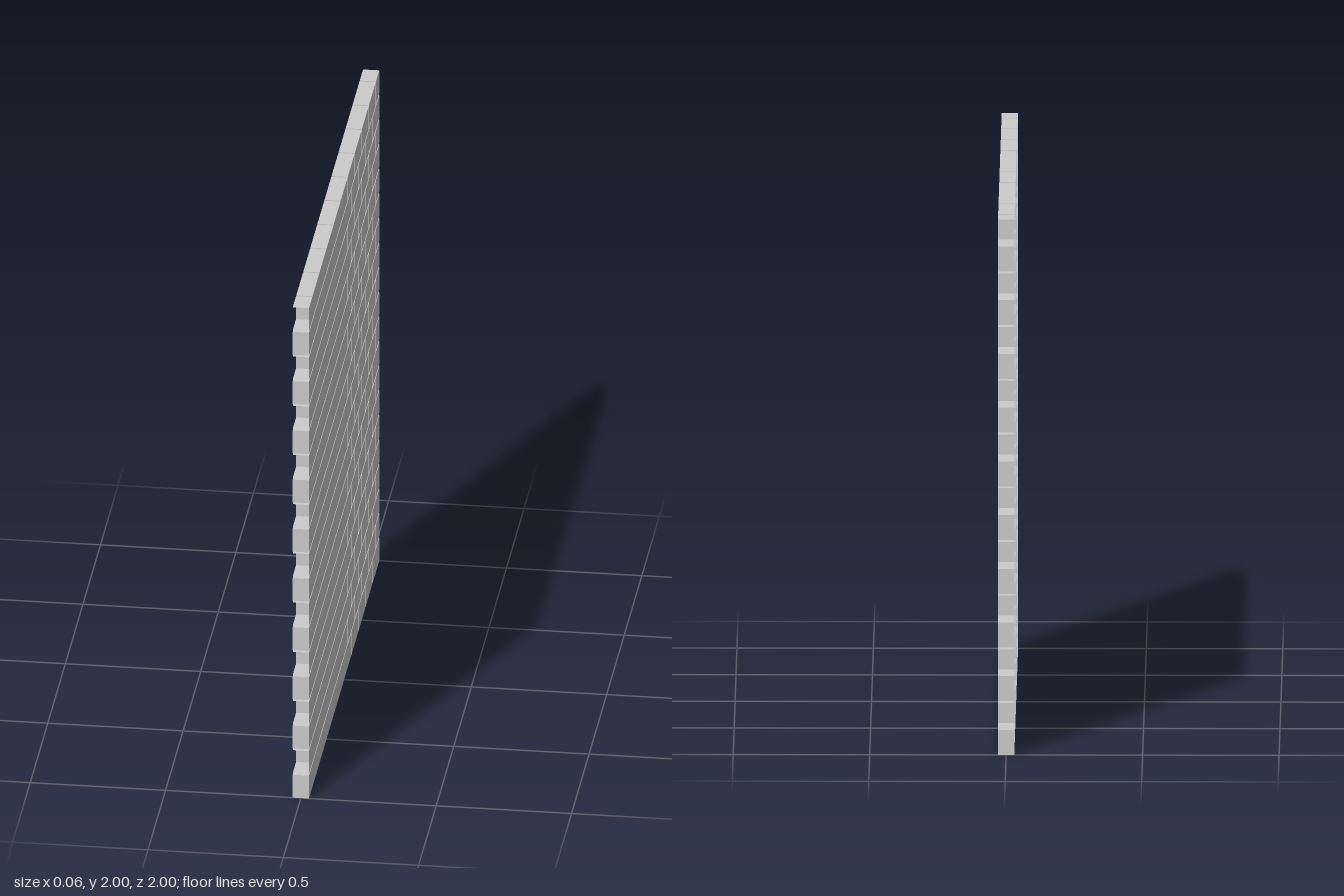
import * as THREE from 'three';

const ROWS = 20, COLS = 10, SIZE = 2, DEPTH = 0.06, GAP = 0.007;
const H = (SIZE - GAP * (ROWS - 1)) / ROWS;
const L = (SIZE - GAP * (COLS - 1)) / COLS;

// Box shell with chosen sides left out (0 +x, 1 -x, 2 +y, 3 -y, 4 +z, 5 -z)
function openBox(length, missing) {
  const geo = new THREE.BoxGeometry(DEPTH, H, length);
  const index = Array.from(geo.index.array);
  geo.setIndex(index.filter((_, i) => !missing.includes(Math.floor(i / 6))));
  geo.clearGroups();
  return geo;
}

export function createModel() {
  const wall = new THREE.Group();
  wall.name = 'brickWall';
  const mat = new THREE.MeshStandardMaterial({
    color: 0xcccccc, side: THREE.DoubleSide, flatShading: true,
  });

  // Hollow bricks, open at the back; half bricks are also open at the wall's end
  const halfL = (L - GAP) / 2;
  const fullBrick = openBox(L, [1]);
  const halfFront = openBox(halfL, [1, 4]);
  const halfBack = openBox(halfL, [1, 5]);

  const add = (row, geo, z, name) => {
    const brick = new THREE.Mesh(geo, mat);
    brick.name = name;
    brick.position.z = z;
    row.add(brick);
  };

  for (let r = 0; r < ROWS; r++) {
    const row = new THREE.Group();
    row.name = 'brickRow' + (r + 1);
    row.position.y = H / 2 + r * (H + GAP);
    const offset = r % 2 === 1;
    const count = offset ? COLS - 1 : COLS;
    for (let i = 0; i < count; i++) {
      add(row, fullBrick, (i - (count - 1) / 2) * (L + GAP), 'brick');
    }
    if (offset) {
      add(row, halfFront, 1 - halfL / 2, 'halfBrickFront');
      add(row, halfBack, -1 + halfL / 2, 'halfBrickBack');
    }
    wall.add(row);
  }
  return wall;
}
